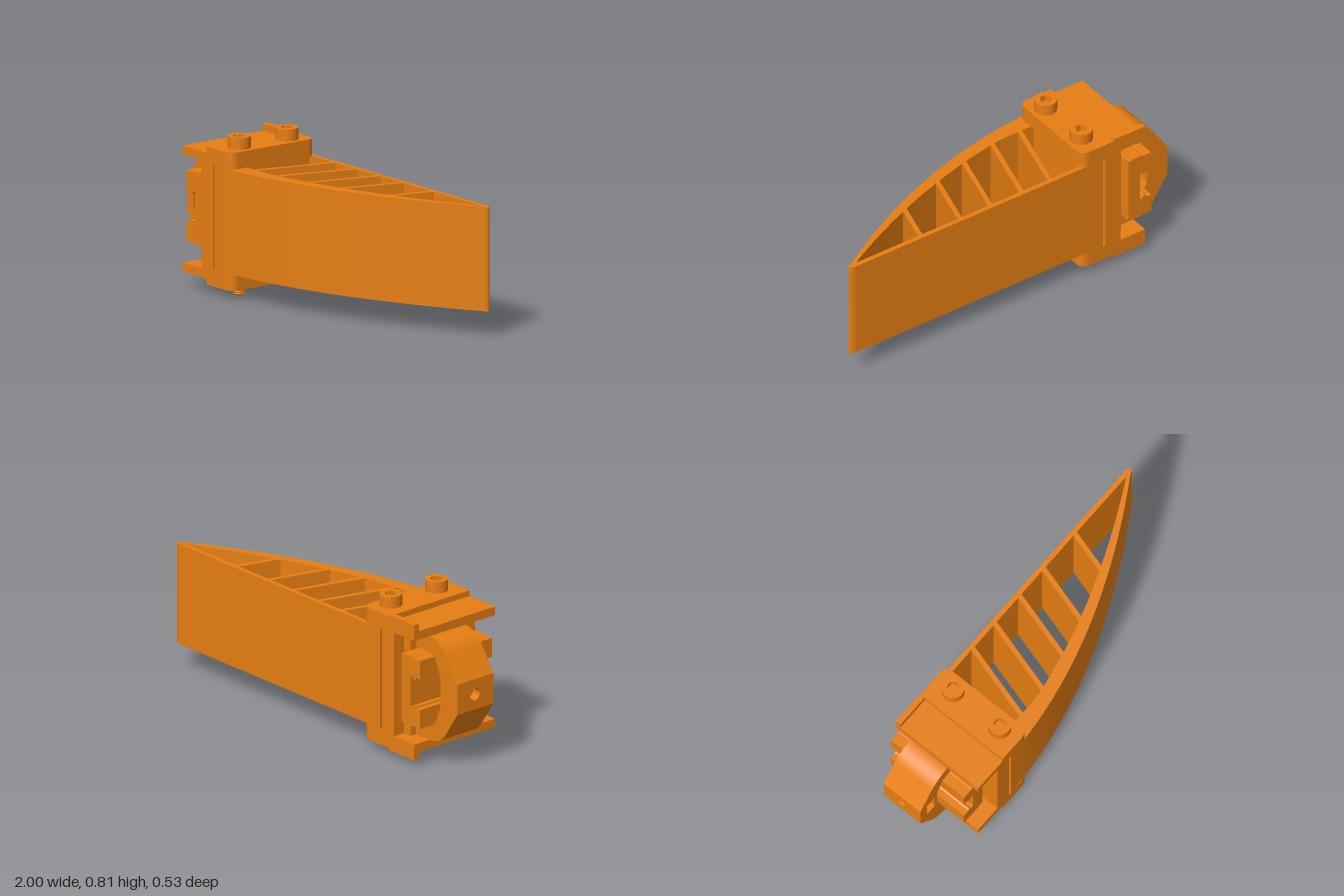
import * as THREE from 'three';

const mat = new THREE.MeshStandardMaterial({ color: 0xe67e12 });

export function createModel() {
  const model = new THREE.Group();
  const add = (name, geometry, parent = model) => {
    const mesh = new THREE.Mesh(geometry, mat);
    mesh.name = name;
    parent.add(mesh);
    return mesh;
  };
  const box = (name, x0, x1, y0, y1, z0, z1) =>
    add(name, new THREE.BoxGeometry(x1 - x0, y1 - y0, z1 - z0)
      .translate((x0 + x1) / 2, (y0 + y1) / 2, (z0 + z1) / 2));
  const points = list => list.map(([x, y]) => new THREE.Vector2(x, y));
  const extrude = (shape, depth) =>
    new THREE.ExtrudeGeometry(shape, { depth, bevelEnabled: false, curveSegments: 16 });
  // Prism along z from an x/y outline
  const prismZ = (name, shape, z0, z1) => add(name, extrude(shape, z1 - z0).translate(0, 0, z0));
  // Prism along y from an x/-z outline
  const prismY = (name, shape, y0, y1) =>
    add(name, extrude(shape, y1 - y0).rotateX(-Math.PI / 2).translate(0, y0, 0));

  // Blade: flat back, curved front, hollow bays between slanted ribs
  const along = x => Math.max(0, (x + 0.55) / 1.53);
  const outer = x => 0.265 - 0.5 * along(x) ** 1.9;
  const inner = x => Math.min(0.165, outer(x) - 0.075 + 0.055 * along(x) ** 2);
  const back = -0.24, slant = 0.28;
  const outline = [[-0.535, 0.265], [0.97, 0.265], [0.99, 0.26], [1, 0.247], [0.995, 0.237]];
  for (let i = 0; i <= 28; i++) {
    const x = 0.98 - (1.515 * i) / 28;
    outline.push([x, -outer(x)]);
  }
  const blade = new THREE.Shape(points(outline));
  const foot = top => { // where a slanted rib face meets the curved wall
    let x = top;
    for (let i = 0; i < 30; i++) x = top - slant * (inner(x) - back);
    return x;
  };
  const ribs = [-0.225, -0.055, 0.135, 0.32, 0.56];
  for (let i = 0; i <= ribs.length; i++) {
    const left = i ? ribs[i - 1] + 0.013 : -0.42;
    const right = i < ribs.length ? ribs[i] - 0.013 : 0.945;
    const a = i ? foot(left) : -0.42;
    const b = i < ribs.length ? foot(right) : 0.935;
    const bay = [[right, -back], [left, -back]];
    for (let k = 0; k <= 8; k++) {
      const x = a + ((b - a) * k) / 8;
      bay.push([x, -Math.max(inner(x), back + 0.003)]);
    }
    blade.holes.push(new THREE.Path(points(bay)));
  }
  prismY('blade', blade, 0.13, 0.66);

  // Mounting wall, with a narrow groove between it and the blade root
  box('grooveFloor', -0.56, -0.53, 0.13, 0.66, -0.235, 0.235);
  box('mountWall', -0.64, -0.55, 0.13, 0.66, -0.265, 0.265);

  // Clamp plates above and below, rounded toward the blade
  const plate = new THREE.Shape();
  plate.moveTo(-0.6, -0.265);
  plate.lineTo(-0.455, -0.265);
  plate.quadraticCurveTo(-0.405, -0.265, -0.405, -0.215);
  plate.lineTo(-0.405, 0.215);
  plate.quadraticCurveTo(-0.405, 0.265, -0.455, 0.265);
  plate.lineTo(-0.6, 0.265);
  plate.closePath();
  prismY('upperClampPlate', plate, 0.66, 0.745);
  prismY('lowerClampPlate', plate, 0.045, 0.13);
  box('upperFlange', -0.79, -0.6, 0.67, 0.715, -0.265, 0.265);
  box('lowerFlange', -0.79, -0.6, 0.075, 0.12, -0.265, 0.265);
  box('upperWallJoint', -0.64, -0.6, 0.65, 0.715, -0.265, 0.265);
  box('lowerWallJoint', -0.64, -0.6, 0.075, 0.14, -0.265, 0.265);
  box('upperBackLip', -0.79, -0.6, 0.67, 0.755, -0.265, -0.235);
  box('lowerBackLip', -0.79, -0.6, 0.035, 0.12, -0.265, -0.235);

  // Loop bracket: angular nose with a nut pocket opening to the front
  const mid = 0.395;
  const loopShape = pocket => {
    const nose = pocket ? -0.89 : -0.95;
    const s = new THREE.Shape();
    s.moveTo(-0.63, 0.12);
    s.lineTo(-0.63, 0.67);
    s.lineTo(-0.8, 0.67);
    s.quadraticCurveTo(-0.87, 0.665, -0.91, 0.61);
    s.lineTo(-1, 0.475);
    s.lineTo(-1, mid + 0.06);
    s.lineTo(nose, mid + 0.06);
    s.lineTo(nose, mid - 0.06);
    s.lineTo(-1, mid - 0.06);
    s.lineTo(-1, 0.315);
    s.lineTo(-0.91, 0.18);
    s.quadraticCurveTo(-0.87, 0.125, -0.8, 0.12);
    s.closePath();
    s.holes.push(new THREE.Path(points([[-0.69, 0.205], [-0.8, 0.205], [-0.84, 0.235],
      [-0.873, 0.32], [-0.873, 0.47], [-0.84, 0.555], [-0.8, 0.585], [-0.69, 0.585]])));
    return s;
  };
  prismZ('loopBracketBack', loopShape(false), -0.165, -0.11);
  prismZ('loopBracketFront', loopShape(true), -0.11, 0.07);

  // Nose wall with a round bolt hole
  const nose = new THREE.Shape(points([[-0.07, mid - 0.06], [0.165, mid - 0.06],
    [0.165, mid + 0.06], [-0.07, mid + 0.06]]));
  nose.holes.push(new THREE.Path().absarc(0.05, mid, 0.032, 0, Math.PI * 2, true));
  add('noseWall', extrude(nose, 0.05).rotateY(-Math.PI / 2).rotateY(Math.PI)
    .scale(1, 1, 1).translate(-1, 0, 0));

  // Backing slab joining the rail to the wall
  box('railBacking', -0.69, -0.63, 0.12, 0.67, -0.2, 0.1);

  // C-section rail, mirrored about its middle height
  const half = [[-0.69, 0.18], [-0.715, 0.18], [-0.715, 0.185], [-0.77, 0.185],
    [-0.775, 0.18], [-0.83, 0.18], [-0.83, 0.08], [-0.803, 0.08], [-0.8, 0.07],
    [-0.79, 0.065], [-0.78, 0.07], [-0.777, 0.08], [-0.76, 0.08]];
  const rail = [...half.map(([x, y]) => [x, mid + y]),
    ...half.slice().reverse().map(([x, y]) => [x, mid - y])];
  prismZ('rail', new THREE.Shape(points(rail)), -0.262, 0.21);

  // Socket-head bolts with nuts and threaded ends
  for (const z of [-0.15, 0.15]) {
    const bolt = new THREE.Group();
    bolt.name = 'bolt';
    bolt.position.set(-0.485, 0, z);
    model.add(bolt);

    const head = new THREE.Shape().absarc(0, 0, 0.057, 0, Math.PI * 2, false);
    const hex = [];
    for (let i = 0; i < 6; i++) {
      const a = (-i * Math.PI) / 3;
      hex.push([0.032 * Math.cos(a), 0.032 * Math.sin(a)]);
    }
    head.holes.push(new THREE.Path(points(hex)));
    add('boltHead', extrude(head, 0.055).rotateX(-Math.PI / 2).translate(0, 0.75, 0), bolt);
    add('headBase', new THREE.CylinderGeometry(0.057, 0.057, 0.03, 32).translate(0, 0.755, 0), bolt);

    add('nut', new THREE.CylinderGeometry(0.066, 0.055, 0.012, 6).translate(0, 0.041, 0), bolt);

    const thread = [[0, 0], [0.023, 0]];
    for (let i = 0; i < 4; i++) {
      const y = 0.002 + i * 0.011;
      thread.push([0.03, y + 0.003], [0.03, y + 0.006], [0.023, y + 0.01]);
    }
    add('threadedEnd', new THREE.LatheGeometry(points(thread), 24), bolt);
  }
  return model;
}
